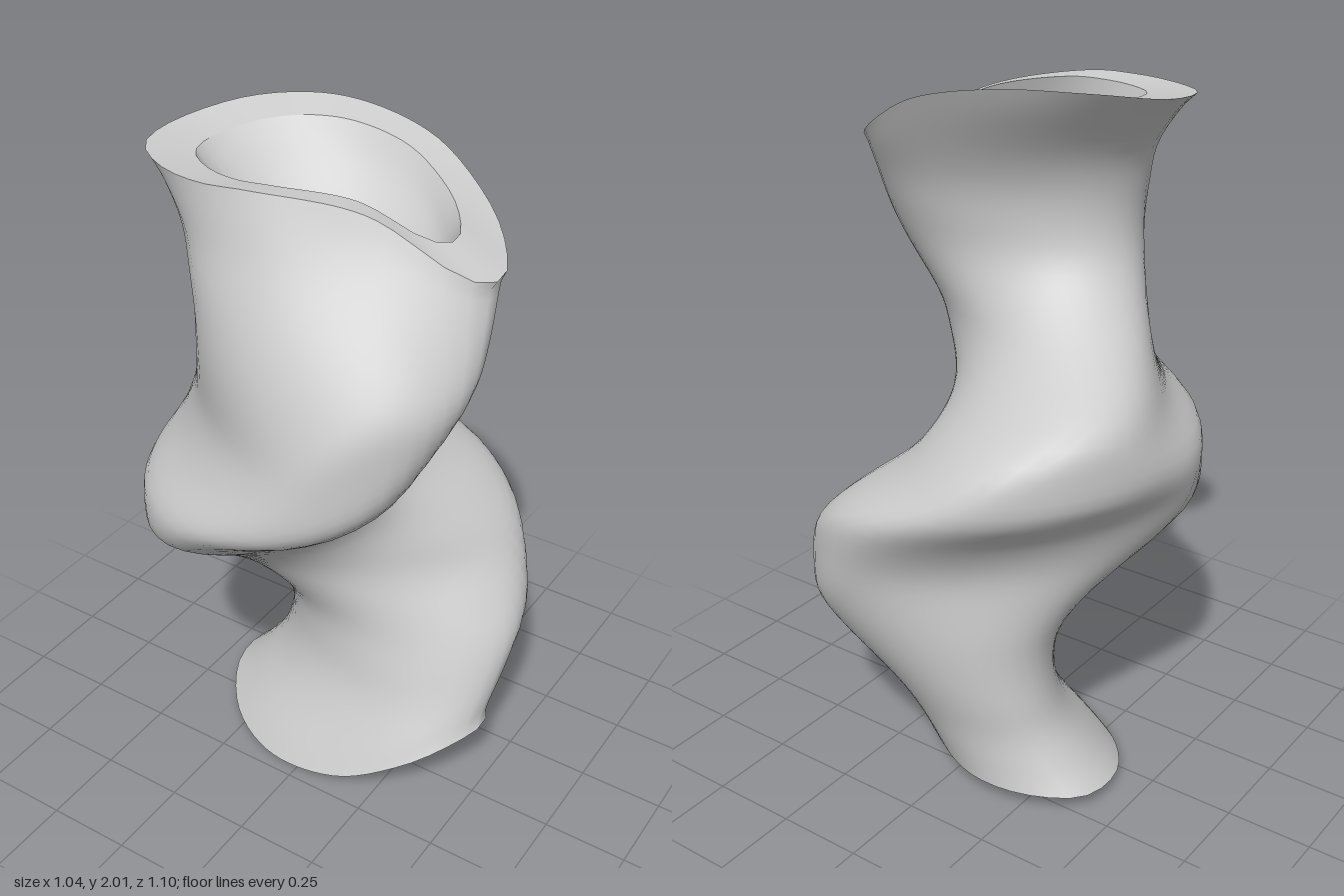
import * as THREE from 'three';

const COLS = 56, ROWS = 60, WALL = 0.09;

// Level cross-sections of the upper half, every 0.1 from y = 1:
// xMin, xMax, zMin, zMax, skew, direction and distance of the flattened inner side.
// The lower half is its half-turn about x.
const SECTIONS = [
  [-0.53, 0.19, -0.535, 0.535, 0, 0, 0.23],
  [-0.515, 0.285, -0.475, 0.565, 0.42, -0.52, 0.18],
  [-0.475, 0.385, -0.315, 0.55, 0.56, -0.87, 0.15],
  [-0.4, 0.46, -0.165, 0.525, 0.54, -1.13, 0.16],
  [-0.32, 0.5, -0.09, 0.495, 0.32, -1.25, 0.3],
  [-0.27, 0.525, -0.06, 0.465, 0.06, -1.3, 0.5],
  [-0.255, 0.525, -0.075, 0.435, -0.12, -1.3, 0.6],
  [-0.265, 0.52, -0.1, 0.4, -0.25, -1.3, 0.6],
  [-0.29, 0.51, -0.15, 0.365, -0.32, -1.3, 0.6],
  [-0.36, 0.48, -0.2, 0.35, -0.32, -1.3, 0.6],
  [-0.44, 0.46, -0.24, 0.34, -0.3, -1.3, 0.6],
];

// Wavy outline of the upper mouth
const RIM = [
  [-0.16, 1.95, 0.345], [-0.03, 1.95, 0.32], [0.22, 1.9, 0.195], [0.42, 1.785, 0.135],
  [0.485, 1.752, 0.09], [0.505, 1.752, 0.03], [0.435, 1.795, -0.09], [0.33, 1.86, -0.165],
  [0.15, 1.95, -0.22], [-0.1, 2, -0.205], [-0.3, 1.995, -0.1], [-0.42, 1.965, 0.08],
  [-0.41, 1.955, 0.23], [-0.3, 1.95, 0.315],
].map((p) => new THREE.Vector3(...p));
const RIM_CENTRE = new THREE.Vector3(0.04, 1.93, 0.06);
const rimSamples = new THREE.CatmullRomCurve3(RIM, true).getPoints(900);

const flip = (p) => new THREE.Vector3(p.x, 2 - p.y, -p.z);
const columnAngle = (c) => (c / COLS) * Math.PI * 2;

// Point of the upper rim in a given direction from its centre; the bore's rim lies inside it
function mouth(angle, inner) {
  const c = Math.cos(angle), s = Math.sin(angle);
  let best, bestDot = -2;
  for (const p of rimSamples) {
    const dx = p.x - RIM_CENTRE.x, dz = p.z - RIM_CENTRE.z;
    const dot = (dx * c + dz * s) / Math.hypot(dx, dz);
    if (dot > bestDot) { bestDot = dot; best = p; }
  }
  const offset = best.clone().sub(RIM_CENTRE);
  if (inner) offset.multiply(new THREE.Vector3(0.73, 0.6, 0.73));
  return offset.add(RIM_CENTRE);
}

// Smoothly interpolated section values at height y >= 1
function sectionAt(y) {
  const f = Math.min((y - 1) * 10, 9.9999), i = Math.floor(f), t = f - i;
  const row = (k) => {
    if (k >= 0) return SECTIONS[Math.min(k, 10)];
    const [a, b, c, d, e, g, h] = SECTIONS[-k];
    return [a, b, -d, -c, -e, -g, h];
  };
  const [p, q, r, s] = [row(i - 1), row(i), row(i + 1), row(i + 2)];
  return q.map((v, k) => v + 0.5 * t * (r[k] - p[k]
    + t * (2 * p[k] - 5 * v + 4 * r[k] - s[k] + t * (3 * (v - r[k]) + s[k] - p[k]))));
}

// Point on a skewed oval section, flattened on its inner side
function wallPoint(y, angle) {
  if (y < 1) return flip(wallPoint(2 - y, -angle));
  const [x0, x1, z0, z1, skew, facing, flat] = sectionAt(y);
  const u = Math.cos(angle), v = Math.sin(angle);
  const cx = (x0 + x1) / 2, cz = (z0 + z1) / 2;
  const p = u / ((x1 - x0) / 2);
  const q = (v / ((z1 - z0) / 2) - skew * p) / Math.sqrt(1 - skew * skew);
  let reach = 1 / Math.hypot(p, q);
  const nx = Math.cos(facing), nz = Math.sin(facing);
  const slope = Math.max(0, u * nx + v * nz) / (flat - cx * nx - cz * nz);
  reach = (reach ** -10 + slope ** 10) ** -0.1;
  const x = cx + u * reach, z = cz + v * reach;
  // keep the coil inside its round envelope
  const r = Math.hypot(x, z), k = Math.min(1, (0.56 + 0.03 * (x / r)) / r);
  return new THREE.Vector3(x * k, y, z * k);
}

// Ease the ends of a wall onto its two mouths
function fitMouths(rings, inner) {
  for (let c = 0; c < COLS; c++) {
    const top = mouth(columnAngle(c), inner).sub(rings[ROWS][c]);
    const low = flip(mouth(-columnAngle(c), inner)).sub(rings[0][c]);
    rings.forEach((ring, r) => {
      ring[c].addScaledVector(top, THREE.MathUtils.smoothstep(r / ROWS, 0.75, 1));
      ring[c].addScaledVector(low, THREE.MathUtils.smoothstep(1 - r / ROWS, 0.75, 1));
    });
  }
  return rings;
}

// Soften a wall by moving points toward their neighbours, mouths fixed
function relax(rings, passes) {
  for (let i = 0; i < passes; i++) {
    rings = rings.map((ring, r) => ring.map((p, c) => {
      if (r === 0 || r === ROWS) return p;
      const mean = rings[r - 1][c].clone().add(rings[r + 1][c])
        .add(ring[(c + 1) % COLS]).add(ring[(c + COLS - 1) % COLS]).multiplyScalar(0.25);
      return mean.lerp(p, 0.5);
    }));
  }
  return rings;
}

function outerRings() {
  const rings = Array.from({ length: ROWS + 1 }, () => []);
  for (let c = 0; c < COLS; c++) {
    const a = columnAngle(c), top = mouth(a, false).y, low = 2 - mouth(-a, false).y;
    rings.forEach((ring, r) => ring.push(wallPoint(low + ((top - low) * r) / ROWS, a)));
  }
  return relax(fitMouths(rings, false), 4);
}

// The bore follows the outer wall at a constant thickness
function innerRings(outer) {
  const normals = skinGeometry(outer).attributes.normal;
  const rings = outer.map((ring, r) => ring.map((p, c) => new THREE.Vector3()
    .fromBufferAttribute(normals, r * COLS + c).multiplyScalar(-WALL).add(p)));
  return relax(fitMouths(rings, true), 4);
}

// Skin over a list of closed rings
function skinGeometry(rings) {
  const index = [];
  for (let r = 0; r < rings.length - 1; r++) {
    for (let c = 0; c < COLS; c++) {
      const n = (c + 1) % COLS;
      const a = r * COLS + c, b = r * COLS + n, d = a + COLS, e = b + COLS;
      index.push(a, d, b, b, d, e);
    }
  }
  const geometry = new THREE.BufferGeometry().setFromPoints(rings.flat());
  geometry.setIndex(index);
  geometry.computeVertexNormals();
  return geometry;
}

export function createModel() {
  const group = new THREE.Group();
  group.name = 'twistedTube';
  const material = new THREE.MeshStandardMaterial({ color: 0xcccccc });
  const outer = outerRings(), inner = innerRings(outer);
  const add = (name, rings) => {
    const mesh = new THREE.Mesh(skinGeometry(rings), material);
    mesh.name = name;
    group.add(mesh);
  };
  add('outerWall', outer);
  add('innerWall', [...inner].reverse());
  add('upperRim', [outer[ROWS], inner[ROWS]]);
  add('lowerRim', [inner[0], outer[0]]);
  return group;
}
